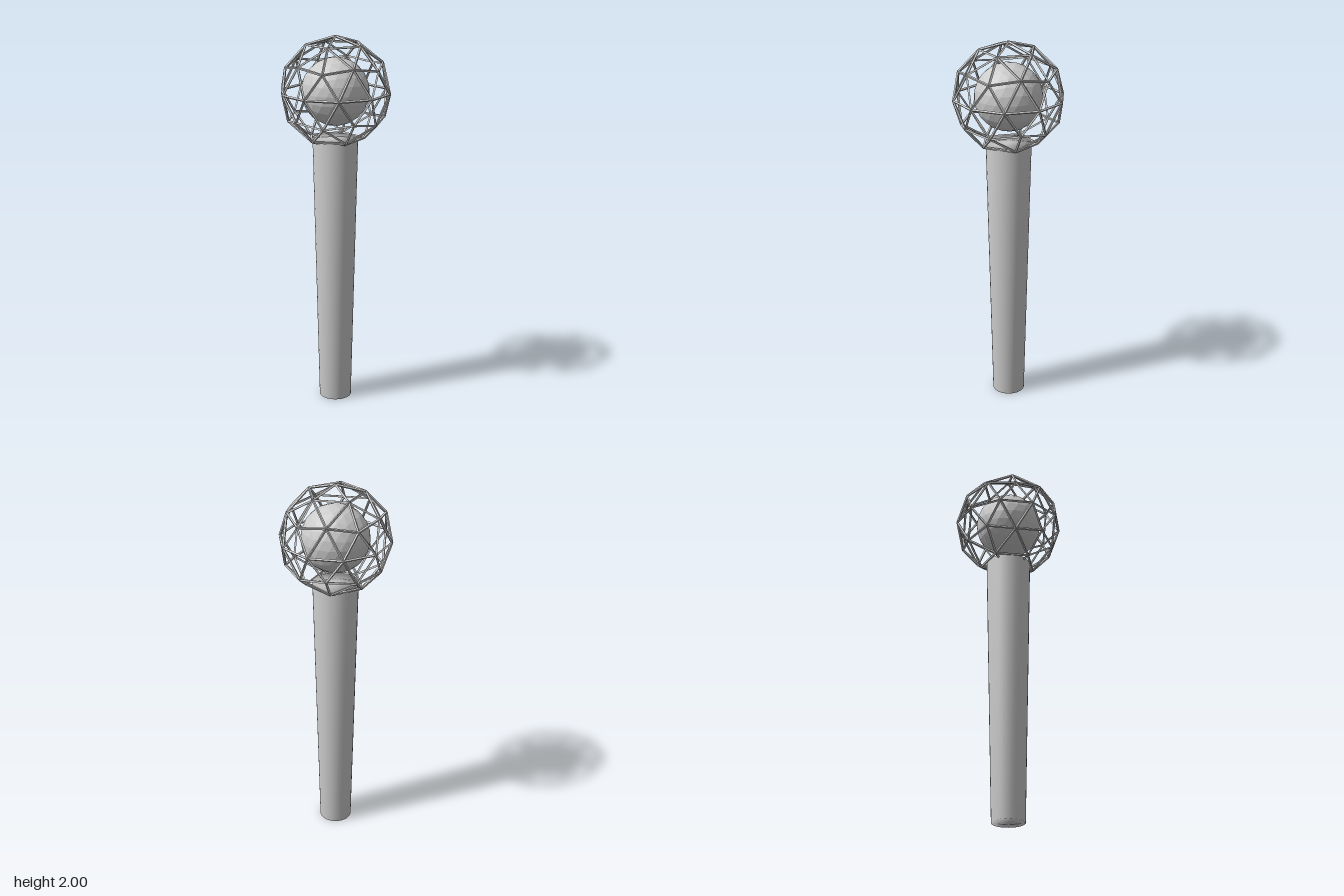
import * as THREE from 'three';
import { mergeGeometries, mergeVertices } from 'three/addons/utils/BufferGeometryUtils.js';

const CENTER_Y = 1.707;
const smooth = new THREE.MeshStandardMaterial({ color: 0xcccccc });
const faceted = new THREE.MeshStandardMaterial({ color: 0xcccccc, flatShading: true });

// Icosphere turned so that one of its twelve corners points straight up
function icosphere(radius, detail) {
  return new THREE.IcosahedronGeometry(radius, detail)
    .rotateZ(Math.atan(2 / (1 + Math.sqrt(5))))
    .rotateY(Math.PI);
}

// Diamond-section bar from a to b, with one ridge facing away from the centre
function strut(a, b, thickness) {
  const along = b.clone().sub(a);
  const length = along.length();
  along.normalize();
  const middle = a.clone().add(b).multiplyScalar(0.5);
  const outward = middle.clone().normalize();
  const side = along.clone().cross(outward);
  const place = new THREE.Matrix4().makeBasis(side, along, outward).setPosition(middle);
  return new THREE.CylinderGeometry(thickness, thickness, length, 4).applyMatrix4(place);
}

// One strut for every distinct edge of an icosphere
function cageGeometry(radius, thickness) {
  const pos = icosphere(radius, 1).getAttribute('position');
  const key = (v) => v.toArray().map((n) => Math.round(n * 1000)).join();
  const seen = new Set();
  const struts = [];
  for (let f = 0; f < pos.count; f += 3) {
    for (let i = 0; i < 3; i++) {
      const a = new THREE.Vector3().fromBufferAttribute(pos, f + i);
      const b = new THREE.Vector3().fromBufferAttribute(pos, f + ((i + 1) % 3));
      const id = key(a.clone().add(b));
      if (seen.has(id)) continue;
      seen.add(id);
      struts.push(strut(a, b, thickness));
    }
  }
  return mergeGeometries(struts);
}

// Tapered shaft whose shading flows softly over both caps
function shaftGeometry(topRadius, bottomRadius, height) {
  const g = new THREE.CylinderGeometry(topRadius, bottomRadius, height, 32);
  g.deleteAttribute('normal');
  g.deleteAttribute('uv');
  const welded = mergeVertices(g, 1e-4);
  welded.computeVertexNormals();
  return welded;
}

export function createModel() {
  const model = new THREE.Group();
  model.name = 'scepter';

  const add = (name, geometry, material, y) => {
    const mesh = new THREE.Mesh(geometry, material);
    mesh.name = name;
    mesh.position.y = y;
    model.add(mesh);
  };

  const shaftHeight = 1.465;
  add('shaft', shaftGeometry(0.12, 0.087, shaftHeight), smooth, shaftHeight / 2);
  add('orb', icosphere(0.178, 3), faceted, CENTER_Y + 0.003);
  add('cage', cageGeometry(0.287, 0.0068), faceted, CENTER_Y);

  return model;
}
